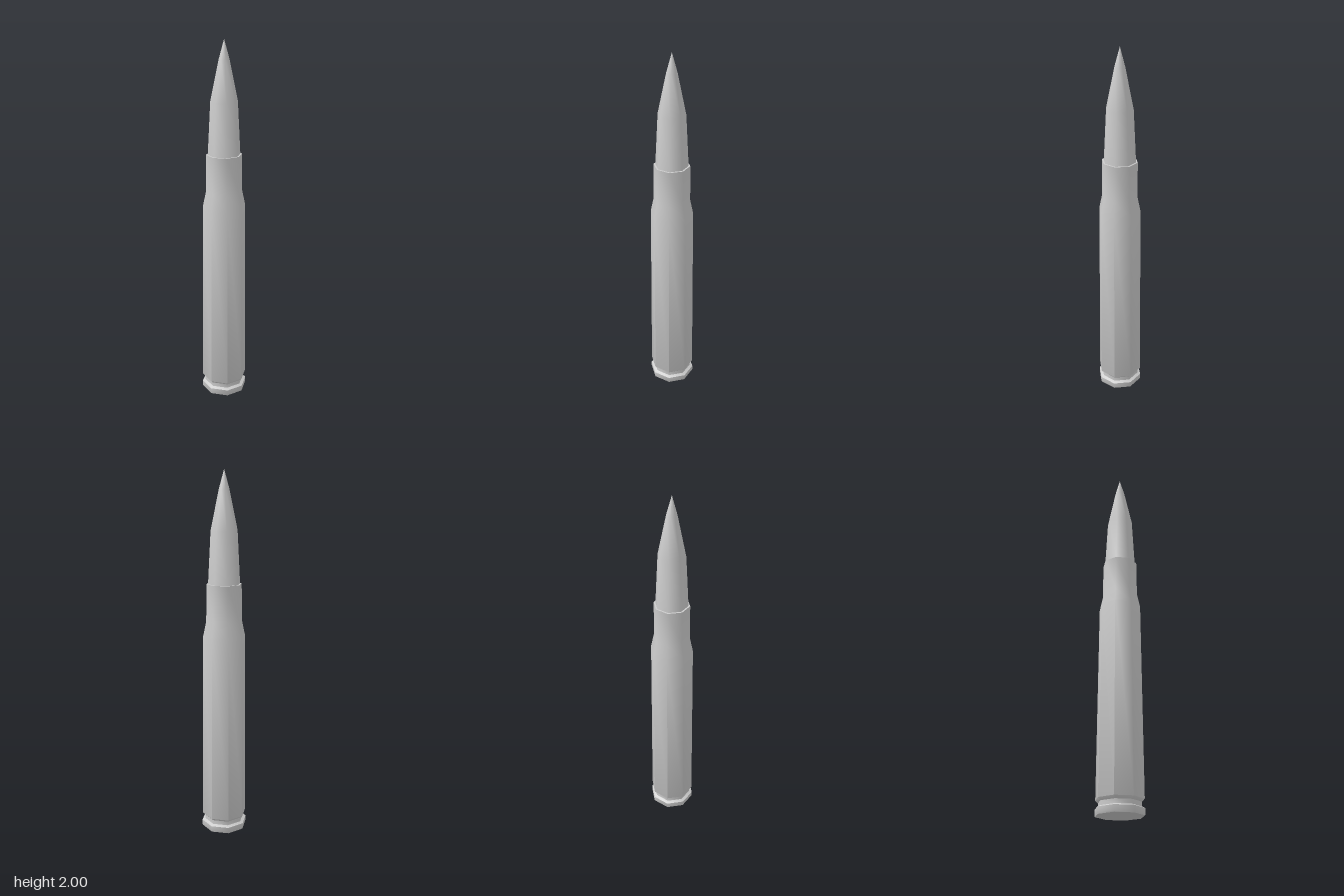
import * as THREE from 'three';
import { toCreasedNormals } from 'three/addons/utils/BufferGeometryUtils.js';

const SIDES = 8;
const material = new THREE.MeshStandardMaterial({ color: 0xcccccc });

// Turn a [radius, height] profile, listed from bottom to top, into an eight-sided part
function turned(name, profile) {
  const points = profile.map(([r, y]) => new THREE.Vector2(r, y));
  const geometry = toCreasedNormals(new THREE.LatheGeometry(points, SIDES), 1.0);
  const mesh = new THREE.Mesh(geometry, material);
  mesh.name = name;
  return mesh;
}

export function createModel() {
  const group = new THREE.Group();
  group.name = 'cartridge';

  // Flat base, rim and extractor groove
  group.add(turned('rim', [
    [0, 0], [0.125, 0], [0.128, 0.006], [0.128, 0.035],
    [0.111, 0.043], [0.111, 0.066],
  ]));

  // Tapered body, shoulder, neck and mouth
  group.add(turned('case', [
    [0.111, 0.066], [0.125, 0.08], [0.115, 1.13],
    [0.098, 1.21], [0.096, 1.41], [0.087, 1.41],
  ]));

  // Pointed bullet
  group.add(turned('bullet', [
    [0.087, 1.41], [0.072, 1.69], [0.028, 1.9], [0, 2],
  ]));

  return group;
}
